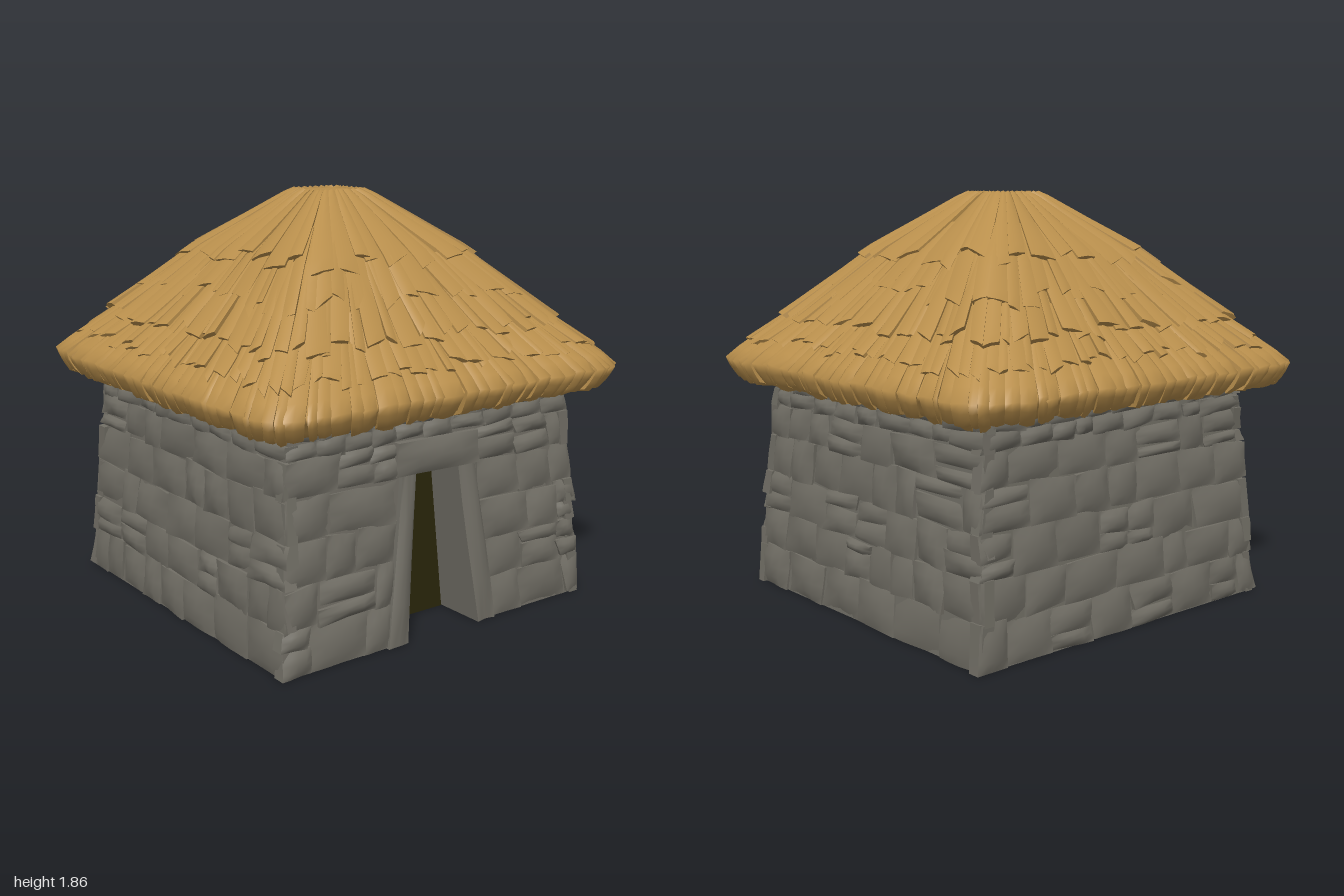
import * as THREE from 'three';
import { mergeGeometries } from 'three/addons/utils/BufferGeometryUtils.js';

const { lerp, clamp } = THREE.MathUtils;

// small seeded random
let seed = 7;
function rnd() {
  seed = (seed * 16807) % 2147483647;
  return seed / 2147483647;
}
const jit = (a) => (rnd() * 2 - 1) * a;

// move every vertex of a geometry by a rule, then refresh normals
function warp(geo, rule) {
  const p = geo.attributes.position;
  const v = new THREE.Vector3();
  for (let i = 0; i < p.count; i++) {
    v.fromBufferAttribute(p, i);
    rule(v);
    p.setXYZ(i, v.x, v.y, v.z);
  }
  geo.computeVertexNormals();
  return geo;
}

// ---- walls -------------------------------------------------------------
const wallHalf = (y) => 0.845 - 0.075 * y;

// one stone on the front wall: x limits at bottom and top, bulging face, uneven corners
function stone(b0, b1, t0, t1, y0, y1, depth, rough = 0.012, out = 0) {
  const c = Array.from({ length: 4 }, () => [jit(rough), jit(rough), jit(rough * 0.8)]);
  const wave = jit(0.006), twist = rnd() * 6;
  return warp(new THREE.BoxGeometry(1, 1, 1, 4, 4, 1), (v) => {
    const a = v.x + 0.5, b = v.y + 0.5;
    const mix = (k) => lerp(lerp(c[0][k], c[1][k], a), lerp(c[2][k], c[3][k], a), b);
    const x = lerp(lerp(b0, b1, a), lerp(t0, t1, a), b) + mix(0);
    const y = Math.max(0, lerp(y0, y1, b) + mix(1));
    const edge = Math.max(Math.abs(v.x), Math.abs(v.y)) * 2;
    const face = wallHalf(y) + out + mix(2) + 0.008 - 0.016 * edge ** 4 + wave * Math.sin(a * 5 + b * 4 + twist);
    v.set(x, y, v.z > 0 ? face : wallHalf(y) - depth);
  });
}

// a run of random stones between two limits, which may lean
function course(list, side, b0, b1, t0, t1, y0, y1) {
  const len = b1 - b0;
  const cuts = [0];
  const size = y1 - y0 < 0.1 ? 0.16 : 0.21;
  while (cuts.at(-1) < 1) {
    const next = cuts.at(-1) + (size * (0.65 + rnd() * 0.8)) / len;
    cuts.push(next > 1 - 0.09 / len ? 1 : next);
  }
  for (let i = 0; i + 1 < cuts.length; i++) {
    const [p, q] = [cuts[i], cuts[i + 1]];
    const put = (lo, hi, d) => list.push(
      stone(lerp(b0, b1, p), lerp(b0, b1, q), lerp(t0, t1, p), lerp(t0, t1, q), lo, hi, d)
        .rotateY((side * Math.PI) / 2));
    // some stones are split into two flat ones
    if (y1 - y0 > 0.14 && rnd() < 0.3) {
      const m = lerp(y0, y1, 0.35 + rnd() * 0.3);
      put(y0, m, 0.06);
      put(m, y1, 0.06);
    } else put(y0, y1, 0.06);
  }
}

function wallStones() {
  const list = [];
  const rows = [0, 0.19, 0.36, 0.54, 0.72, 0.87, 0.94, 1.02];
  for (let side = 0; side < 4; side++) {
    for (let r = 0; r + 1 < rows.length; r++) {
      const y0 = rows[r], y1 = rows[r + 1];
      const w0 = wallHalf(y0), w1 = wallHalf(y1);
      if (side === 0 && y0 < 0.86) {
        const g0 = 0.29 - 0.11 * y0, g1 = 0.29 - 0.11 * y1;
        course(list, side, -w0, -g0, -w1, -g1, y0, y1);
        course(list, side, g0, w0, g1, w1, y0, y1);
      } else course(list, side, -w0, w0, -w1, w1, y0, y1);
    }
  }
  return mergeGeometries(list);
}

// solid masonry block between x limits, from zBack to just inside the wall face
function block(b0, b1, t0, t1, y0, y1, zBack, zFront) {
  return warp(new THREE.BoxGeometry(1, 1, 1), (v) => {
    const a = v.x + 0.5, b = v.y + 0.5;
    const y = lerp(y0, y1, b);
    const z = v.z > 0 ? (zFront ?? wallHalf(y) - 0.015) : (zBack ?? 0.015 - wallHalf(y));
    v.set(lerp(lerp(b0, b1, a), lerp(t0, t1, a), b), y, z);
  });
}

function wallCore() {
  const w0 = wallHalf(0) - 0.015, w1 = wallHalf(1.04) - 0.015;
  return mergeGeometries([
    block(-w0, w0, -w1, w1, 0, 1.04, null, 0.6),
    block(-w0, -0.22, -w1, -0.12, 0, 1.04, 0.59),
    block(0.21, w0, 0.11, w1, 0, 1.04, 0.59),
    block(-0.2, 0.2, -0.2, 0.2, 0.74, 1.04, 0.59),
  ]);
}

// ---- roof --------------------------------------------------------------
// roof section from the peak, over the eave lip and back under to the wall
const section = [[0, 1.855], [0.125, 1.855], [0.46, 1.59], [0.76, 1.285], [0.965, 1.09], [0.915, 1.005], [0.75, 1.03]];

function sectionAt(t) {
  t = clamp(t, 0, section.length - 1);
  const i = Math.min(Math.floor(t), section.length - 2), f = t - i;
  return [lerp(section[i][0], section[i + 1][0], f), lerp(section[i][1], section[i + 1][1], f)];
}

// point on the front roof slope: u across (-1..1), t down the section, h above it
function roofPoint(v, u, t, h) {
  const [r, y] = sectionAt(t);
  const [ra, ya] = sectionAt(t - 0.2), [rb, yb] = sectionAt(t + 0.2);
  const len = Math.hypot(rb - ra, yb - ya) || 1;
  const out = r + (h * (ya - yb)) / len;
  const soft = 1 - 0.045 * clamp(Math.abs(u), 0, 1) ** 8;
  v.set(u * out * soft, y + (h * (rb - ra)) / len, out * soft);
}

function roofCore() {
  const sides = [];
  for (let s = 0; s < 4; s++) {
    sides.push(warp(new THREE.PlaneGeometry(2, 1, 16, 24), (v) => roofPoint(v, v.x, (0.5 - v.y) * 6, 0))
      .rotateY((s * Math.PI) / 2));
  }
  return mergeGeometries(sides);
}

// a tuft of thatch lying down the slope, lifted and ragged at its tip
function tuft(u0, u1, t0, t1, lift) {
  const skew = jit(0.2), lean = jit(0.3) * (u1 - u0), tilt = jit(0.008);
  const taper = 0.75 + rnd() * 0.3;
  return warp(new THREE.BoxGeometry(1, 1, 1, 2, 8, 1), (v) => {
    const down = 0.5 - v.y;
    const width = lerp(1.05, taper, down ** 3);
    const u = (u0 + u1) / 2 + v.x * (u1 - u0) * width + lean * down;
    const t = lerp(t0, t1, down) + skew * v.x * down * 0.7;
    const ridge = 0.007 * (1 - 4 * v.x * v.x);
    const h = v.z > 0 ? lerp(0.004, lift, down) + ridge + tilt * v.x : -0.01;
    roofPoint(v, clamp(u, -1, 1), t, h);
  });
}

function thatch() {
  const list = [];
  // start, end, tufts per side, lift at the tip
  const tiers = [
    [0.95, 2.05, 8, 0.022], [1.5, 2.55, 13, 0.018], [2.0, 3.04, 19, 0.024],
    [2.6, 3.55, 24, 0.018], [2.95, 5.15, 27, 0.02],
  ];
  for (let side = 0; side < 4; side++) {
    for (const [t0, t1, n, lift] of tiers) {
      const cuts = Array.from({ length: n + 1 }, (_, i) =>
        i === 0 ? -1 : i === n ? 1 : -1 + (2 * i + jit(0.6)) / n);
      for (let i = 0; i < n; i++) {
        list.push(tuft(cuts[i], cuts[i + 1], t0, t1 + jit(0.12), lift + jit(0.007))
          .rotateY((side * Math.PI) / 2));
      }
    }
  }
  return mergeGeometries(list);
}

export function createModel() {
  seed = 7;
  const material = (name, color) => new THREE.MeshStandardMaterial({ name, color });
  const grey = material('stone', 0x716e65);
  const straw = material('thatch', 0xb98f4c);
  const dark = material('doorwayDark', 0x2b270b);

  const model = new THREE.Group();
  model.name = 'stoneHut';
  const add = (name, geo, mat) => {
    const mesh = new THREE.Mesh(geo, mat);
    mesh.name = name;
    model.add(mesh);
  };

  // walls
  add('wallCore', wallCore(), grey);
  add('wallStones', wallStones(), grey);

  // doorway: leaning jambs, lintel and a dark panel at the back of the recess
  add('rightJamb', stone(-0.3, -0.2, -0.205, -0.125, 0, 0.73, 0.25, 0.005, 0.012), grey);
  add('leftJamb', stone(0.19, 0.29, 0.115, 0.2, 0, 0.73, 0.25, 0.005, 0.012), grey);
  add('lintel', stone(-0.235, 0.225, -0.225, 0.22, 0.725, 0.865, 0.25, 0.005, 0.022), grey);
  add('doorway', block(-0.22, 0.21, -0.14, 0.13, 0, 0.74, 0.598, 0.605), dark);

  // roof
  add('roofCore', roofCore(), straw);
  add('thatchTufts', thatch(), straw);
  return model;
}
